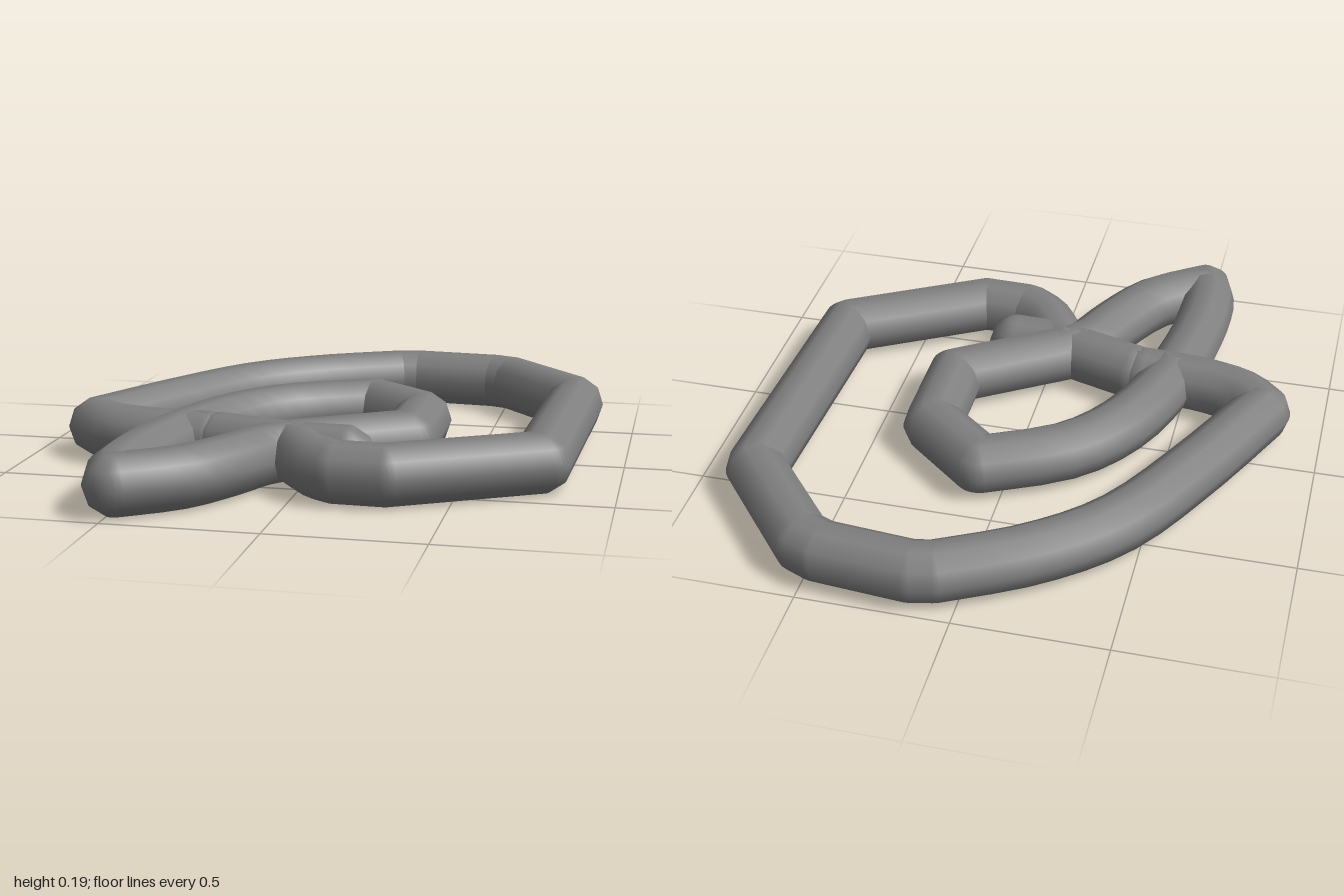
import * as THREE from 'three';

const RADIUS = 0.1, SIDES = 10;
const HEIGHT = RADIUS * Math.sin(Math.PI * 0.4); // centre line height, ten-sided tube lies on a flat

// Smooth run through [x, z] points
function arc(points, steps) {
  const curve = new THREE.SplineCurve(points.map(p => new THREE.Vector2(...p)));
  return curve.getPoints(steps).map(p => [p.x, p.y]);
}

// Tube along a flat [x, z] path; rings fan out round sharp corners and round off both ends
function flatTube(path, name, material) {
  const headings = [];
  for (let i = 1; i < path.length; i++) {
    headings.push(Math.atan2(path[i][1] - path[i - 1][1], path[i][0] - path[i - 1][0]));
  }
  const position = [], normal = [], index = [];
  const addRing = (x, z, heading) => {
    for (let k = 0; k <= SIDES; k++) {
      const a = k / SIDES * Math.PI * 2;
      const nx = -Math.sin(heading) * Math.cos(a), ny = Math.sin(a), nz = Math.cos(heading) * Math.cos(a);
      position.push(x + nx * RADIUS, HEIGHT + ny * RADIUS, z + nz * RADIUS);
      normal.push(nx, ny, nz);
    }
  };
  path.forEach(([x, z], i) => {
    const last = i === path.length - 1;
    const from = i === 0 ? headings[0] - Math.PI : headings[i - 1];
    const to = last ? from + Math.PI : headings[i];
    let turn = to - from;
    if (i > 0 && !last) turn = Math.atan2(Math.sin(turn), Math.cos(turn));
    const fan = Math.abs(turn) < 0.25 ? 0 : Math.ceil(Math.abs(turn) / 0.25);
    if (fan === 0) addRing(x, z, from + turn / 2);
    for (let j = 0; fan > 0 && j <= fan; j++) addRing(x, z, from + turn * j / fan);
  });
  const row = SIDES + 1, rings = position.length / 3 / row;
  for (let r = 0; r < rings - 1; r++) {
    for (let k = 0; k < SIDES; k++) {
      const a = r * row + k, b = a + row;
      index.push(a, b, a + 1, a + 1, b, b + 1);
    }
  }
  const geometry = new THREE.BufferGeometry();
  geometry.setAttribute('position', new THREE.Float32BufferAttribute(position, 3));
  geometry.setAttribute('normal', new THREE.Float32BufferAttribute(normal, 3));
  geometry.setIndex(index);
  const mesh = new THREE.Mesh(geometry, material);
  mesh.name = name;
  return mesh;
}

export function createModel() {
  const group = new THREE.Group();
  group.name = 'knottedWire';
  const material = new THREE.MeshStandardMaterial({ color: 0x808080 });

  // Large loop: short left hook, long back sweep, then straight runs down the right side
  const outer = [
    ...arc([[-0.36, 0.3], [-0.55, 0.29], [-0.7, 0.25], [-0.79, 0.17]], 9),
    ...arc([[-0.79, 0.17], [-0.62, -0.19], [-0.43, -0.52], [-0.2, -0.73], [0.08, -0.885]], 14).slice(1),
    [0.15, -0.9], [0.45, -0.875], [0.52, -0.845], [0.79, -0.53], [0.755, 0.355], [0.3, 0.615],
    ...arc([[0.14, 0.61], [0.05, 0.54], [-0.04, 0.39]], 6),
  ];
  group.add(flatTube(outer, 'outerLoop', material));

  // Small loop that runs on into the pointed leaf at the front
  const inner = [
    [-0.05, 0.36], [0.29, 0.14], [0.29, -0.16], [0.08, -0.335],
    ...arc([[0.08, -0.335], [-0.18, -0.2], [-0.34, -0.01], [-0.44, 0.25], [-0.495, 0.55], [-0.505, 0.79], [-0.48, 0.9]], 18).slice(1),
    ...arc([[-0.48, 0.9], [-0.31, 0.77], [-0.2, 0.59], [-0.13, 0.44], [-0.05, 0.36]], 12).slice(1),
  ];
  group.add(flatTube(inner, 'innerLoopAndLeaf', material));

  // Short bar tying the crossings together
  const bar = arc([[0.13, 0.4], [-0.04, 0.39], [-0.18, 0.35], [-0.31, 0.31]], 8);
  group.add(flatTube(bar, 'crossBar', material));

  return group;
}
